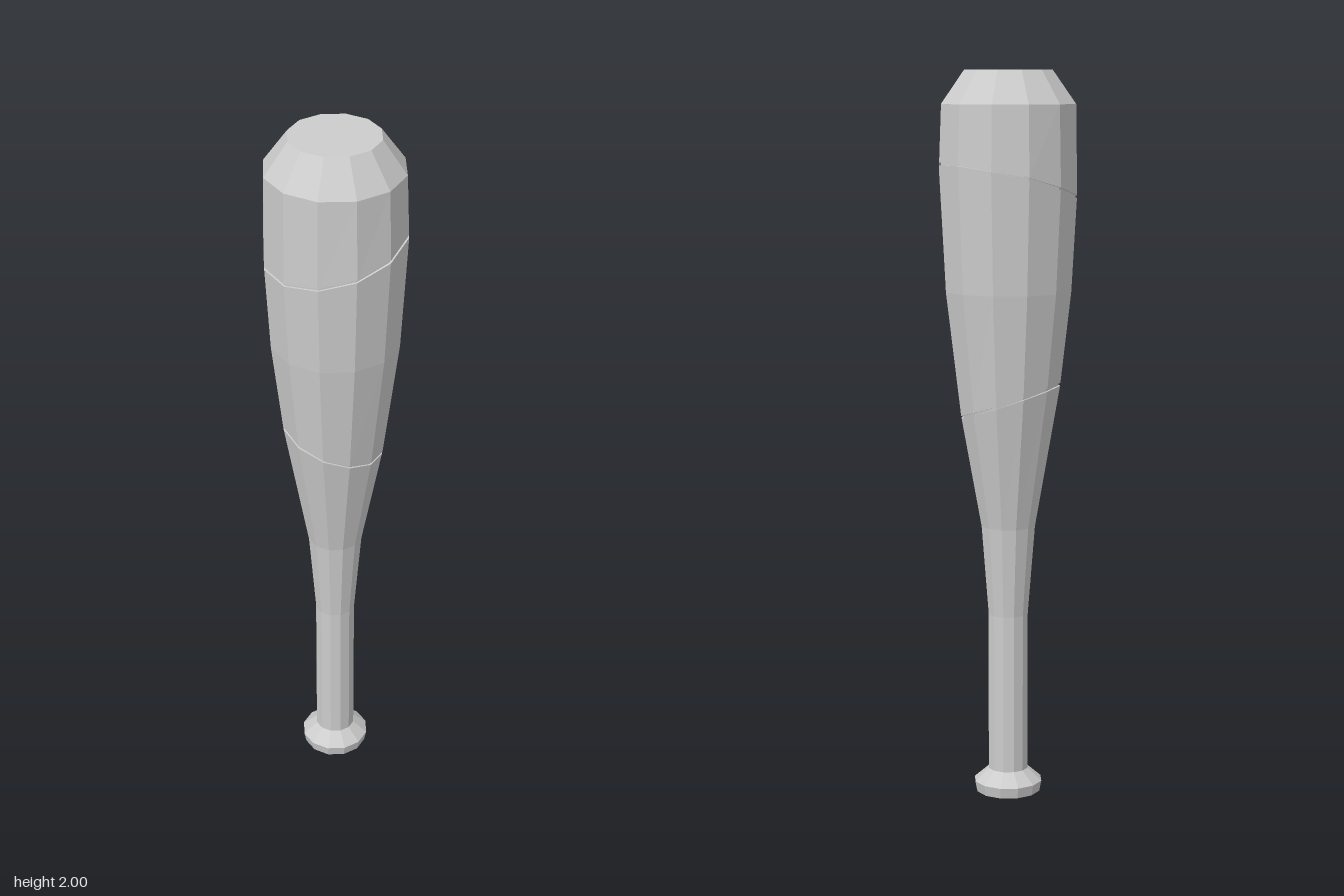
import * as THREE from 'three';

const SIDES = 12;

// Silhouette as [height, radius]
const PROFILE = [
  [0, 0.09], [0.03, 0.096], [0.065, 0.056], [0.51, 0.056], [0.76, 0.076],
  [1.1, 0.139], [1.41, 0.175], [1.73, 0.193], [1.91, 0.186], [2, 0.122],
];

function radiusAt(y) {
  const i = Math.max(1, PROFILE.findIndex(p => p[0] >= y));
  const [y0, r0] = PROFILE[i - 1], [y1, r1] = PROFILE[i];
  return r0 + (r1 - r0) * (y - y0) / (y1 - y0);
}

// One loop of points; tiltX and tiltZ slope it, inset sinks it into the surface
function ring(y, { tiltX = 0, tiltZ = 0, inset = 0, closed = false } = {}) {
  const points = [];
  for (let i = 0; i < SIDES; i++) {
    const a = (i / SIDES) * Math.PI * 2, c = Math.cos(a), s = Math.sin(a);
    let h = y, r = radiusAt(y);
    for (let k = 0; k < 4; k++) {
      h = y + (tiltX * c + tiltZ * s) * r;
      r = radiusAt(h);
    }
    r = closed ? 0 : r - inset;
    points.push(new THREE.Vector3(c * r, h, s * r));
  }
  return points;
}

// Skin a stack of rings with flat facets
function skin(rings) {
  const pos = [];
  const tri = (a, b, c) => {
    if (a.distanceTo(b) > 1e-6 && b.distanceTo(c) > 1e-6 && c.distanceTo(a) > 1e-6) {
      for (const p of [a, b, c]) pos.push(p.x, p.y, p.z);
    }
  };
  for (let k = 0; k < rings.length - 1; k++) {
    const low = rings[k], high = rings[k + 1];
    for (let i = 0; i < SIDES; i++) {
      const j = (i + 1) % SIDES;
      tri(low[i], high[i], low[j]);
      tri(high[i], high[j], low[j]);
    }
  }
  const geo = new THREE.BufferGeometry();
  geo.setAttribute('position', new THREE.Float32BufferAttribute(pos, 3));
  geo.computeVertexNormals();
  return geo;
}

export function createModel() {
  const group = new THREE.Group();
  group.name = 'bat';
  const grey = new THREE.MeshStandardMaterial({ color: 0xcccccc });
  grey.name = 'light grey';

  const add = (name, rings) => {
    const mesh = new THREE.Mesh(skin(rings), grey);
    mesh.name = name;
    group.add(mesh);
  };

  // Slanted seams around the barrel
  const lower = { tiltX: -0.345, tiltZ: 0 }, upper = { tiltX: 0.19, tiltZ: -0.2 };
  const g = 0.004, inset = 0.006;
  const groove = (y, tilt) => [
    ring(y - g, tilt), ring(y - g, { ...tilt, inset }),
    ring(y + g, { ...tilt, inset }), ring(y + g, tilt),
  ];

  add('knob', [ring(0, { closed: true }), ring(0), ring(0.03), ring(0.065)]);
  add('handle', [ring(0.065), ring(0.51), ring(0.76), ring(1.107 - g, lower)]);
  add('lowerSeam', groove(1.107, lower));
  add('barrel', [ring(1.107 + g, lower), ring(1.41), ring(1.702 - g, upper)]);
  add('upperSeam', groove(1.702, upper));
  add('tip', [ring(1.702 + g, upper), ring(1.91), ring(2), ring(2, { closed: true })]);

  return group;
}
